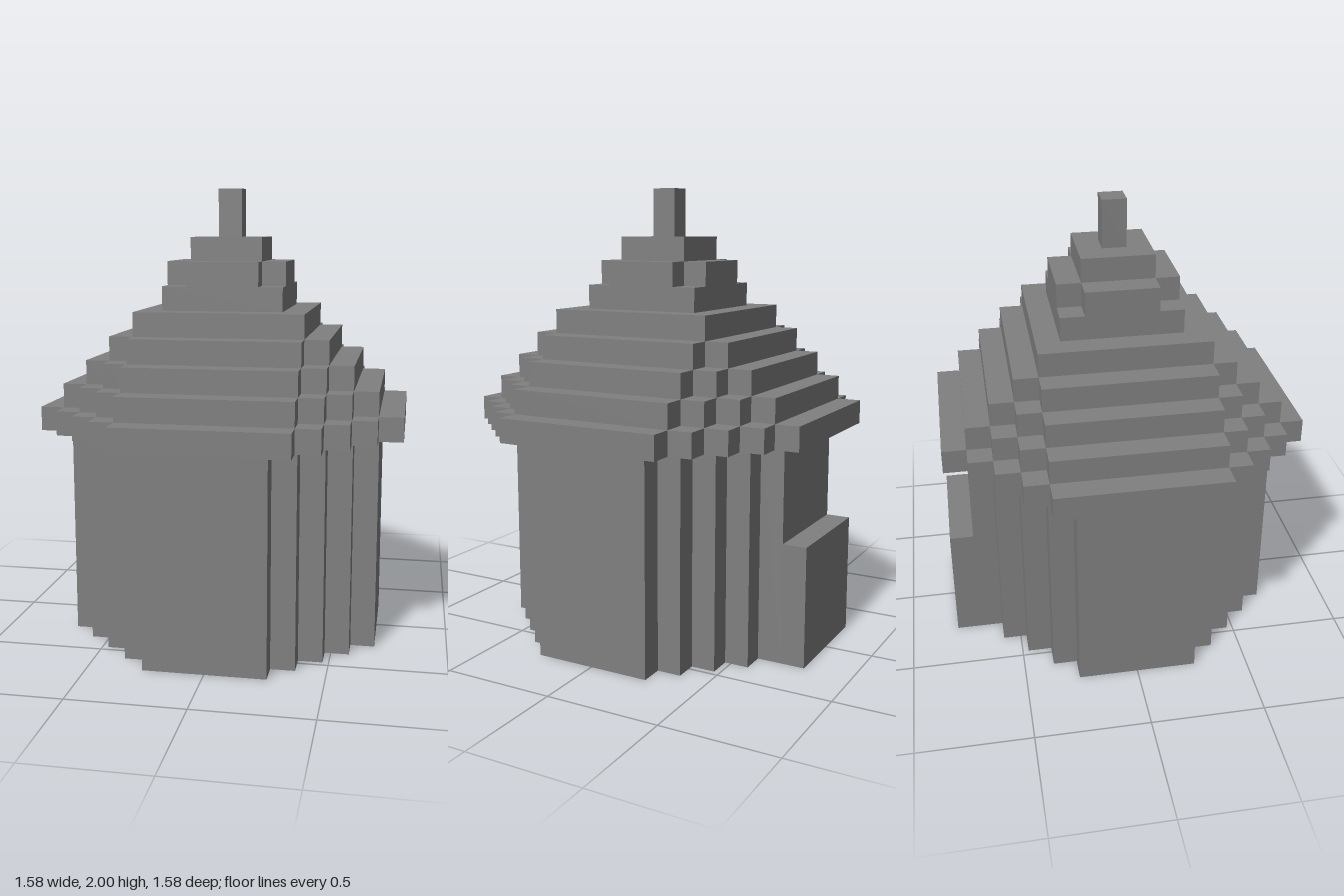
import * as THREE from 'three';

const U = 2 / 19; // edge of one block

// Stepped octagon: half = half width, flat = half length of each straight side (in blocks)
function steppedShape(half, flat) {
  const quarter = [];
  const steps = Math.round(half - flat);
  for (let k = 0; k <= steps; k++) {
    quarter.push([half - k, flat + k]);
    if (k < steps) quarter.push([half - k - 1, flat + k]);
  }
  const points = [];
  for (let q = 0; q < 4; q++) {
    const c = [1, 0, -1, 0][q], s = [0, 1, 0, -1][q];
    for (const [x, y] of quarter) {
      points.push(new THREE.Vector2((x * c - y * s) * U, (x * s + y * c) * U));
    }
  }
  return new THREE.Shape(points);
}

export function createModel() {
  const group = new THREE.Group();
  const stone = new THREE.MeshStandardMaterial({ color: 0x808080 });
  stone.name = 'grey stone';

  // Upright slab with a stepped outline, from block row y0 to y1
  function addTier(name, half, flat, y0, y1) {
    const geometry = new THREE.ExtrudeGeometry(steppedShape(half, flat), {
      depth: (y1 - y0) * U,
      bevelEnabled: false,
    });
    geometry.rotateX(-Math.PI / 2);
    const mesh = new THREE.Mesh(geometry, stone);
    mesh.name = name;
    mesh.position.y = y0 * U;
    group.add(mesh);
  }

  // Round tower wall
  addTier('wall', 6.5, 2.5, 0, 9);

  // Eave and roof tiers, each one block smaller than the last
  addTier('eave', 7.5, 3.5, 9, 10);
  for (let i = 0; i < 4; i++) {
    addTier(`roofTier${i + 1}`, 6.5 - i, 3.5, 10 + i, 11 + i);
  }

  // Steep top of the roof and its spire
  addTier('roofNeck', 2.5, 2.5, 14, 15);
  addTier('roofCross', 2.5, 1.5, 15, 16);
  addTier('roofCap', 1.5, 1.5, 16, 17);
  addTier('spire', 0.5, 0.5, 17, 19);

  // Block standing out at the back
  const porch = new THREE.Mesh(new THREE.BoxGeometry(5 * U, 5 * U, U), stone);
  porch.name = 'backBlock';
  porch.position.set(0, 2.5 * U, -7 * U);
  group.add(porch);

  return group;
}
